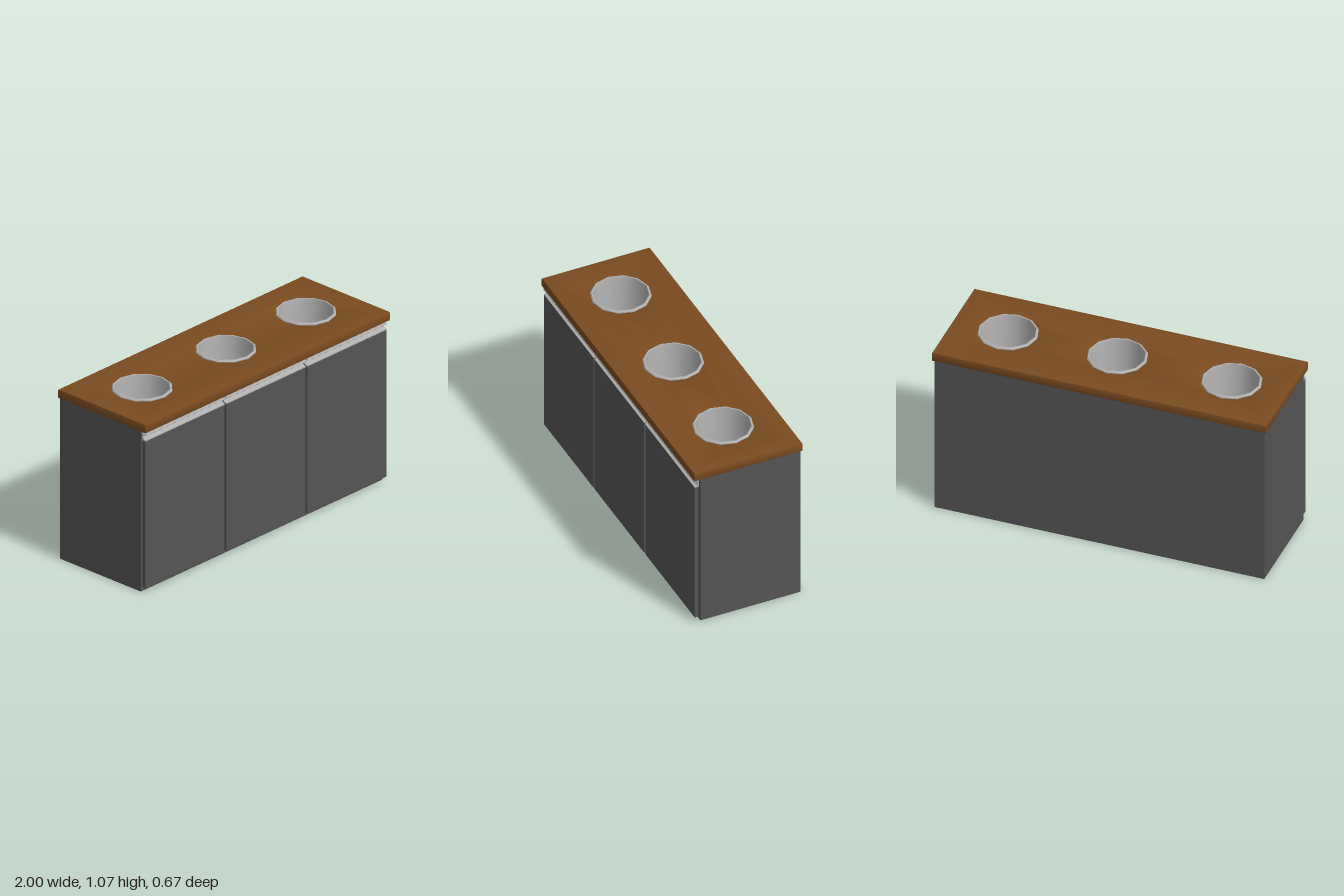
import * as THREE from 'three';
import { toCreasedNormals } from 'three/addons/utils/BufferGeometryUtils.js';
import { RoundedBoxGeometry } from 'three/addons/geometries/RoundedBoxGeometry.js';

const paint = (name, color, side = THREE.FrontSide) => {
  const m = new THREE.MeshStandardMaterial({ color, side });
  m.name = name;
  return m;
};

export function createModel() {
  const group = new THREE.Group();
  const grey = paint('charcoal panel', 0x555555);
  const wood = paint('brown wood', 0x7a4b20);
  const metal = paint('brushed metal', 0xb0b0b0, THREE.DoubleSide);

  const add = (name, geometry, material, x = 0, y = 0, z = 0) => {
    const mesh = new THREE.Mesh(geometry, material);
    mesh.name = name;
    mesh.position.set(x, y, z);
    group.add(mesh);
    return mesh;
  };

  // Cabinet carcass, open at the top beneath the worktop
  const carcass = new THREE.BoxGeometry(1.976, 1, 0.62);
  carcass.groups = carcass.groups.filter((g) => g.materialIndex !== 2);
  add('carcass', carcass, Array(6).fill(grey), -0.002, 0.5, -0.02);

  // Worktop with three round openings and softened edges
  const binX = [-0.67, 0.015, 0.67];
  const bevel = 0.005;
  const hx = 1 - bevel, hz = 0.335 - bevel;
  const top = new THREE.Shape([[-hx, -hz], [hx, -hz], [hx, hz], [-hx, hz]].map((p) => new THREE.Vector2(...p)));
  for (const x of binX) {
    const hole = new THREE.Path();
    hole.absarc(x, 0, 0.167, 0, Math.PI * 2, true);
    top.holes.push(hole);
  }
  const topGeo = new THREE.ExtrudeGeometry(top, {
    depth: 0.055 - 2 * bevel, bevelThickness: bevel, bevelSize: bevel, bevelSegments: 2, curveSegments: 6,
  });
  topGeo.rotateX(-Math.PI / 2);
  add('worktop', toCreasedNormals(topGeo, 0.6), wood, 0, 1 + bevel, 0);

  // Sunken bins with raised rims
  const profile = [
    [0.172, 1.045], [0.174, 1.06], [0.168, 1.067], [0.16, 1.067],
    [0.157, 1.055], [0.157, 0.35], [0, 0.35],
  ].map((p) => new THREE.Vector2(...p));
  const binGeo = toCreasedNormals(new THREE.LatheGeometry(profile, 12), 0.6);
  for (const x of binX) add('bin', binGeo, metal, x);

  // Doors, each topped by a hooked grip rail
  const doorW = 0.65;
  const doorGeo = new RoundedBoxGeometry(doorW, 0.917, 0.026, 2, 0.005);
  const grip = new THREE.Shape();
  grip.moveTo(0.3, 0.945);
  grip.lineTo(0.326, 0.945);
  grip.lineTo(0.326, 0.95);
  grip.quadraticCurveTo(0.304, 0.95, 0.304, 0.972);
  grip.lineTo(0.304, 0.984);
  grip.lineTo(0.325, 0.984);
  grip.lineTo(0.328, 0.979);
  grip.lineTo(0.33, 0.981);
  grip.lineTo(0.327, 0.988);
  grip.lineTo(0.3, 0.988);
  const gripGeo = new THREE.ExtrudeGeometry(grip, { depth: doorW, bevelEnabled: false, curveSegments: 6 });
  gripGeo.rotateY(-Math.PI / 2);
  gripGeo.translate(doorW / 2, 0, 0);
  const gripSmooth = toCreasedNormals(gripGeo, 0.6);
  for (const i of [-1, 0, 1]) {
    const x = i * 0.662 - 0.002;
    add('door', doorGeo, grey, x, 0.4875, 0.313);
    add('gripRail', gripSmooth, metal, x);
  }
  return group;
}
